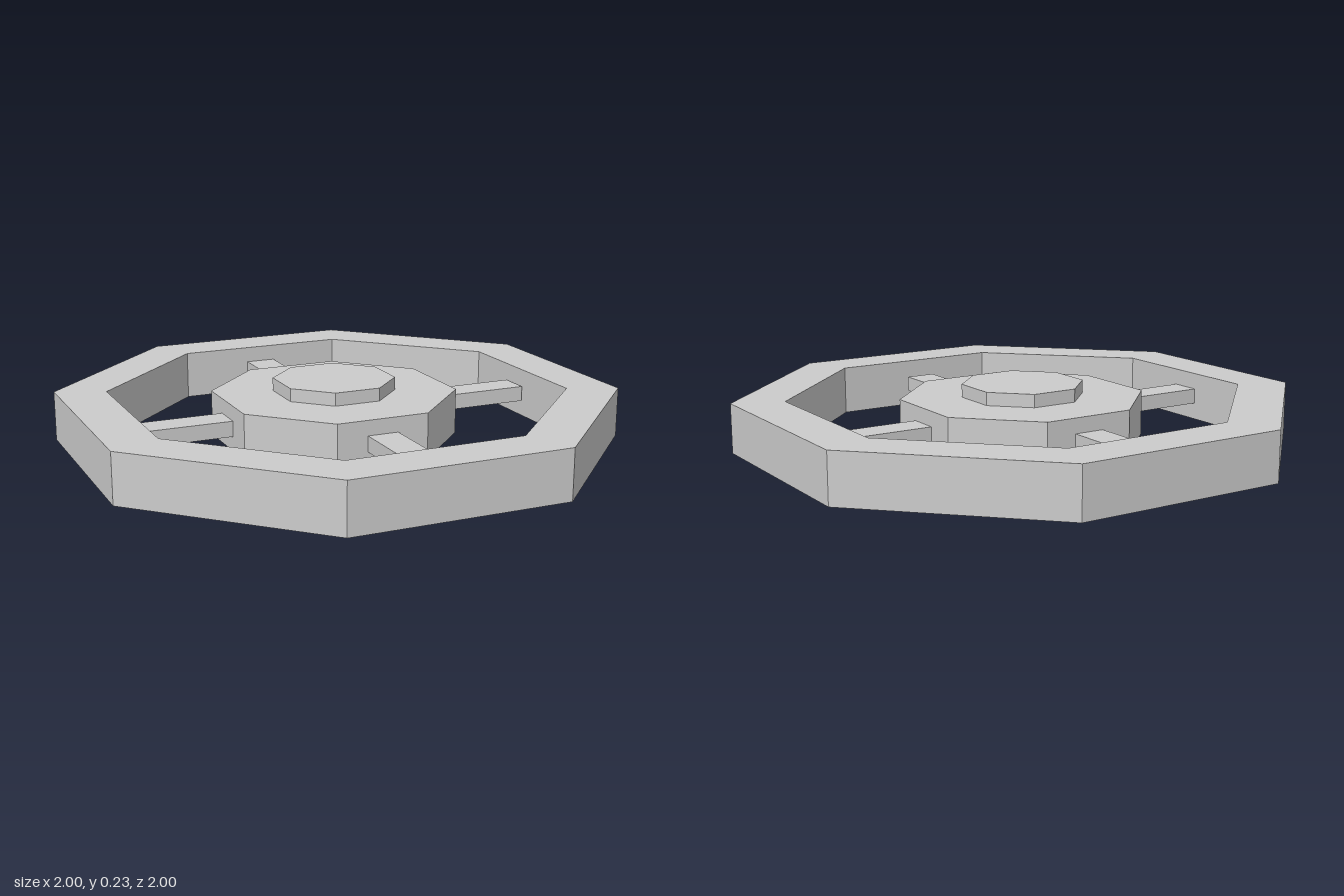
import * as THREE from 'three';

const material = new THREE.MeshStandardMaterial({ color: 0xcccccc, flatShading: true });

// Corners of an octagon with flat sides facing the axes, sized by its apothem
function octagon(apothem) {
  const radius = apothem / Math.cos(Math.PI / 8);
  return Array.from({ length: 8 }, (_, i) => {
    const a = (i + 0.5) * Math.PI / 4;
    return new THREE.Vector2(radius * Math.cos(a), radius * Math.sin(a));
  });
}

// Upright octagonal prism from y = bottom to y = top, optionally hollow
function octagonPrism(name, apothem, bottom, top, holeApothem) {
  const shape = new THREE.Shape(octagon(apothem));
  if (holeApothem) shape.holes.push(new THREE.Path(octagon(holeApothem).reverse()));
  const geometry = new THREE.ExtrudeGeometry(shape, { depth: top - bottom, bevelEnabled: false });
  geometry.rotateX(-Math.PI / 2).translate(0, bottom, 0);
  const mesh = new THREE.Mesh(geometry, material);
  mesh.name = name;
  return mesh;
}

export function createModel() {
  const model = new THREE.Group();
  model.name = 'wheel';

  // Outer rim
  model.add(octagonPrism('rim', 1, 0, 0.19, 0.815));

  // Hub, cap and spokes sit slightly off the rim's centre
  const core = new THREE.Group();
  core.name = 'core';
  core.position.set(-0.005, 0, -0.023);
  core.add(octagonPrism('hub', 0.435, 0.01, 0.185));
  core.add(octagonPrism('hubCap', 0.217, 0.18, 0.235));

  // Four flat spokes running from inside the hub to the rim
  const inner = 0.4, outer = 0.807;
  for (let i = 0; i < 4; i++) {
    const geometry = new THREE.BoxGeometry(outer - inner, 0.06, 0.12);
    geometry.translate((inner + outer) / 2, 0.097, 0);
    const spoke = new THREE.Mesh(geometry, material);
    spoke.name = 'spoke' + (i + 1);
    spoke.rotation.y = i * Math.PI / 2;
    core.add(spoke);
  }
  model.add(core);
  return model;
}
